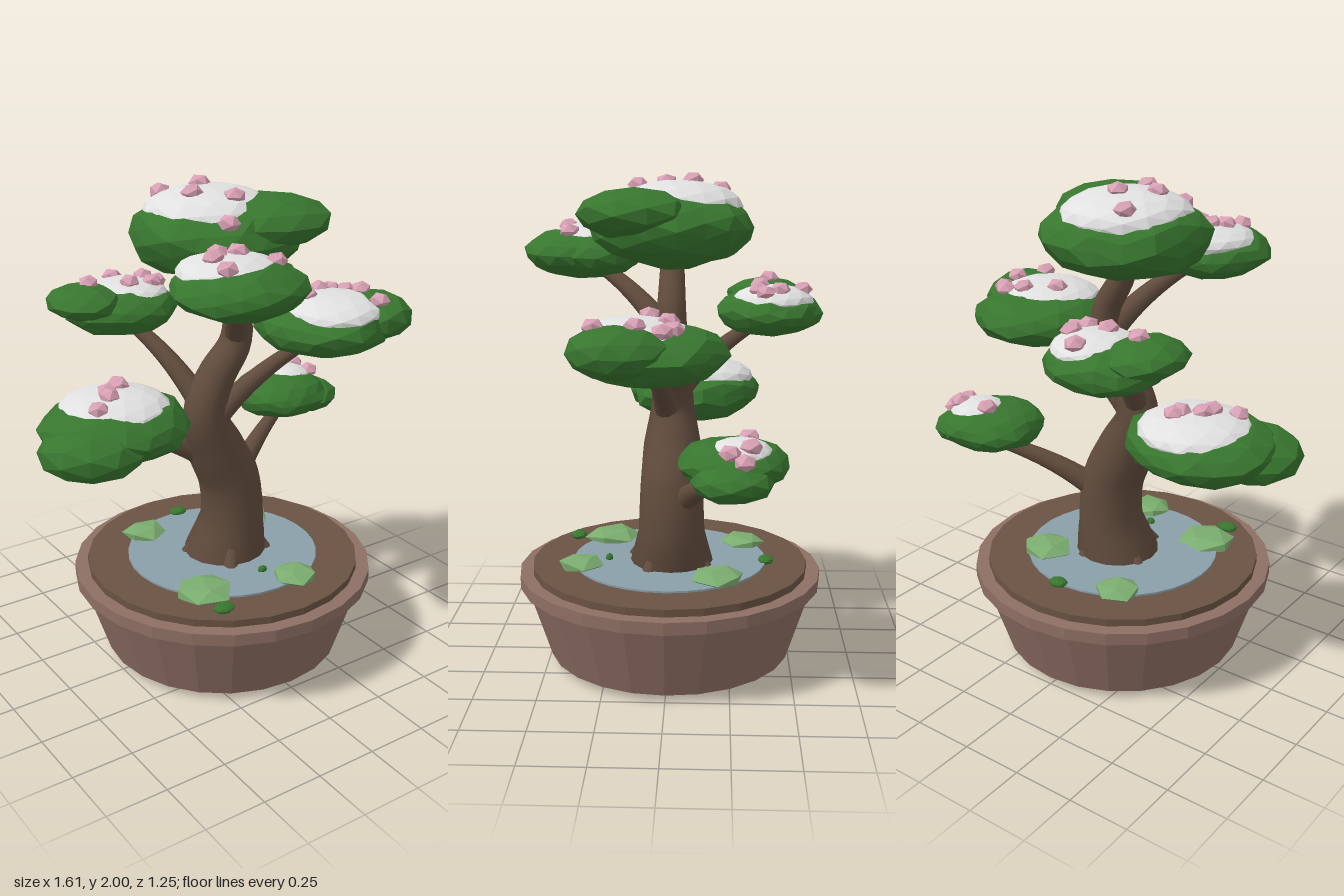
import * as THREE from 'three';

const flat = (name, color) => {
  const m = new THREE.MeshStandardMaterial({ color, flatShading: true });
  m.name = name;
  return m;
};
const clay = flat('clay', 0x8d6e63);
const soil = flat('soil', 0x6a5242);
const water = flat('water', 0x8a9faa);
const leaf = flat('leaf', 0x38762f);
const snow = flat('snow', 0xe0e0e0);
const blossom = flat('blossom', 0xd8a0b4);
const moss = flat('moss', 0x7aac6e);
const bark = flat('bark', 0x614c3d);
bark.flatShading = false;

function add(parent, name, geo, mat, x = 0, y = 0, z = 0) {
  const mesh = new THREE.Mesh(geo, mat);
  mesh.name = name;
  mesh.position.set(x, y, z);
  parent.add(mesh);
}

// Faceted lump: icosphere whose corners are pushed in and out by a seeded rule
function lump(rx, ry, rz, detail, rough, seed) {
  const geo = new THREE.IcosahedronGeometry(1, detail);
  geo.rotateY(seed * 1.3);
  const p = geo.attributes.position, v = new THREE.Vector3();
  for (let i = 0; i < p.count; i++) {
    v.fromBufferAttribute(p, i);
    const [a, b, c] = v.toArray().map((n) => Math.round(n * 100));
    const h = Math.sin(a * 1.27 + b * 3.11 + c * 7.47 + seed * 5.3) * 437.58;
    v.multiplyScalar(1 + rough * (h - Math.floor(h) - 0.5));
    p.setXYZ(i, v.x * rx, v.y * ry, v.z * rz);
  }
  geo.computeVertexNormals();
  return geo;
}

// Tapered tube along a curve; radius is a function of the curve parameter
function limb(curve, radius, steps, sides) {
  const geo = new THREE.TubeGeometry(curve, steps, 1, sides);
  const p = geo.attributes.position, v = new THREE.Vector3();
  for (let i = 0; i <= steps; i++) {
    const c = curve.getPointAt(i / steps);
    const r = radius(curve.getUtoTmapping(i / steps));
    for (let j = 0; j <= sides; j++) {
      const n = i * (sides + 1) + j;
      v.fromBufferAttribute(p, n).sub(c).multiplyScalar(r).add(c);
      p.setXYZ(n, v.x, v.y, v.z);
    }
  }
  return geo;
}

// Height of the upper surface of an ellipsoid [x, y, z, rx, ry, rz] at a point
const topOf = ([x, y, z, rx, ry, rz], px, pz) =>
  y + ry * Math.sqrt(Math.max(0, 1 - ((px - x) / rx) ** 2 - ((pz - z) / rz) ** 2));

// Foliage pad: two lumps, a snow cap [x, z, radius] and blossoms spaced along an arc
function addPad(model, name, seed, main, side, [wx, wz, wr], count, arc, zigzag = 0) {
  const pad = new THREE.Group();
  pad.name = name;
  model.add(pad);
  const cap = [wx, main[1] + main[4] * 0.5, wz, wr, main[4] * 0.65, wr];
  const place = (part, [x, y, z, ...radii], detail, rough, mat) =>
    add(pad, part, lump(...radii, detail, rough, seed), mat, x, y, z);
  place('foliage', main, 2, 0.1, leaf);
  place('sideFoliage', side, 1, 0.08, leaf);
  place('snowCap', cap, 2, 0.03, snow);

  const path = new THREE.QuadraticBezierCurve(...arc.map((q) => new THREE.Vector2(...q)));
  path.getPoints(count - 1).forEach((q, i) => {
    const x = q.x + (i % 2 ? zigzag : -zigzag), z = q.y;
    const y = Math.max(...[main, side, cap].map((e) => topOf(e, x, z)));
    add(pad, 'blossom', lump(0.044, 0.034, 0.044, 0, 0, seed + i * 0.7), blossom, x, y, z);
  });
}

// Branch that rises first from the trunk and then levels out into its pad
function addBranch(model, name, from, to) {
  const a = new THREE.Vector3(...from), b = new THREE.Vector3(...to);
  const bend = a.clone().lerp(b, 0.38);
  bend.y = THREE.MathUtils.lerp(a.y, b.y, 0.65);
  const curve = new THREE.QuadraticBezierCurve3(a, bend, b);
  add(model, name, limb(curve, (t) => 0.052 - 0.027 * t, 16, 10), bark);
}

export function createModel() {
  const model = new THREE.Group();
  model.name = 'pottedTree';

  // Pot, feet, soil and pond
  const disc = (name, top, bottom, low, high, sides, mat, x, z) =>
    add(model, name, new THREE.CylinderGeometry(top, bottom, high - low, sides), mat, x, (low + high) / 2, z);
  for (const x of [-0.26, 0.26]) for (const z of [-0.26, 0.26])
    disc('potFoot', 0.08, 0.08, 0, 0.04, 12, clay, x, z);
  disc('potBody', 0.6, 0.5, 0.03, 0.34, 24, clay);
  disc('potRim', 0.625, 0.625, 0.33, 0.38, 24, clay);
  disc('soil', 0.57, 0.57, 0.38, 0.41, 24, soil);
  disc('pond', 0.4, 0.4, 0.41, 0.418, 32, water);

  // Moss mounds and small ground leaves
  [[-0.26, 0.26, 0.125], [0.25, -0.2, 0.115], [0.11, 0.36, 0.095], [-0.2, -0.31, 0.095]].forEach(([x, z, r], i) =>
    add(model, 'mossMound', lump(r, 0.035, r, 0, 0.15, i + 1), moss, x, 0.425, z));
  [[0.03, -0.4, 0.04], [-0.27, 0.41, 0.045], [0.03, 0.25, 0.02]].forEach(([x, z, r], i) =>
    add(model, 'groundLeaf', lump(r, 0.018, r * 0.8, 1, 0.1, i), leaf, x, 0.422, z));

  // Winding trunk: centre x, height and radius at each bend
  const bends = [
    [0.02, 0.38, 0.18], [0.055, 0.56, 0.135], [0.04, 0.74, 0.128], [-0.03, 0.9, 0.118], [-0.08, 1.05, 0.088],
    [-0.025, 1.2, 0.078], [0.07, 1.33, 0.066], [0.075, 1.46, 0.058], [0, 1.6, 0.05], [-0.06, 1.74, 0.04],
  ];
  const spine = new THREE.CatmullRomCurve3(bends.map(([x, y]) => new THREE.Vector3(x, y, -0.01)));
  const trunkRadius = (t) => {
    const k = Math.min(Math.floor(t * (bends.length - 1)), bends.length - 2);
    return THREE.MathUtils.lerp(bends[k][2], bends[k + 1][2], t * (bends.length - 1) - k);
  };
  add(model, 'trunk', limb(spine, trunkRadius, 48, 16), bark);

  // Roots flaring from the trunk foot
  for (let i = 0; i < 4; i++) {
    const a = 0.5 + i * 1.55, c = Math.cos(a), s = Math.sin(a);
    const line = new THREE.LineCurve3(
      new THREE.Vector3(0.03 + c * 0.08, 0.5, s * 0.08), new THREE.Vector3(0.02 + c * 0.17, 0.4, s * 0.17));
    add(model, 'root', limb(line, (t) => 0.04 - 0.012 * t, 4, 8), bark);
  }

  // Branches
  addBranch(model, 'lowerLeftBranch', [0.09, 0.68, -0.05], [0.48, 0.88, -0.25]);
  addBranch(model, 'lowerRightBranch', [-0.03, 0.82, -0.02], [-0.42, 1.02, -0.1]);
  addBranch(model, 'upperLeftBranch', [-0.05, 1.02, 0.01], [0.42, 1.3, 0.06]);
  addBranch(model, 'upperBackBranch', [-0.08, 1.06, 0], [-0.23, 1.39, -0.38]);
  addBranch(model, 'upperFrontBranch', [0.07, 1.36, 0], [-0.16, 1.64, 0.33]);

  // Foliage pads, top to bottom
  addPad(model, 'crownPad', 1, [-0.02, 1.785, -0.01, 0.34, 0.16, 0.32], [0.13, 1.845, 0.13, 0.24, 0.1, 0.23],
    [-0.04, -0.03, 0.26], 5, [[-0.1, -0.2], [-0.1, 0.02], [-0.07, 0.23]], 0.055);
  addPad(model, 'upperFrontPad', 2, [-0.17, 1.675, 0.35, 0.26, 0.105, 0.25], [-0.03, 1.67, 0.28, 0.15, 0.08, 0.17],
    [-0.18, 0.31, 0.2], 5, [[-0.27, 0.43], [-0.28, 0.16], [-0.04, 0.4]]);
  addPad(model, 'upperBackPad', 3, [-0.23, 1.425, -0.41, 0.24, 0.1, 0.22], [-0.4, 1.48, -0.4, 0.15, 0.07, 0.17],
    [-0.19, -0.42, 0.17], 6, [[-0.37, -0.41], [0.12, -0.26], [-0.19, -0.54]]);
  addPad(model, 'upperLeftPad', 5, [0.46, 1.36, 0.06, 0.28, 0.12, 0.3], [0.63, 1.39, 0.16, 0.17, 0.1, 0.19],
    [0.47, 0.11, 0.22], 6, [[0.38, 0.06], [0.72, -0.2], [0.6, 0.25]]);
  addPad(model, 'lowerRightPad', 4, [-0.44, 1.05, -0.1, 0.31, 0.125, 0.28], [-0.59, 1.02, 0, 0.22, 0.11, 0.2],
    [-0.43, -0.12, 0.23], 5, [[-0.36, -0.19], [-0.44, -0.14], [-0.54, -0.02]], 0.015);
  addPad(model, 'lowerLeftPad', 6, [0.48, 0.955, -0.25, 0.21, 0.095, 0.21], [0.62, 0.92, -0.25, 0.14, 0.075, 0.15],
    [0.53, -0.28, 0.12], 4, [[0.46, -0.31], [0.74, -0.34], [0.63, -0.24]]);
  return model;
}
